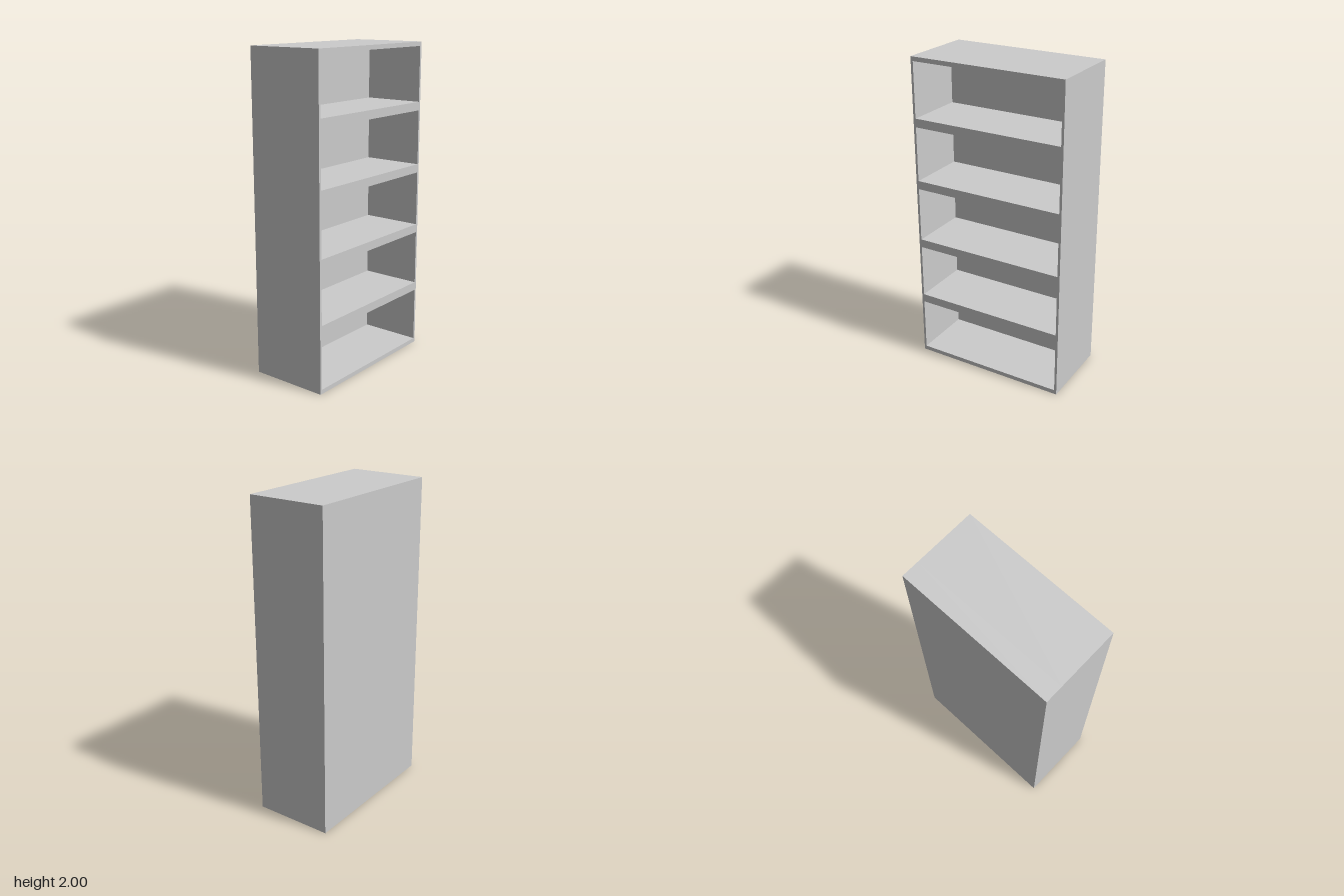
import * as THREE from 'three';

const HEIGHT = 2, WIDTH = 1, DEPTH = 0.5;
const BAYS = 5, PITCH = HEIGHT / BAYS;
const SIDE = 0.015;          // side panel thickness
const BOARD = 0.027;         // board above and below each bay
const BAY_DEPTH = 0.39;      // bays open towards +x

export function createModel() {
  const group = new THREE.Group();
  group.name = 'bookcase';
  const material = new THREE.MeshStandardMaterial({ color: 0xcccccc, flatShading: true });

  // Rectangle corners between two points
  const rect = (u0, v0, u1, v1) => [[u0, v0], [u1, v0], [u1, v1], [u0, v1]]
    .map(([u, v]) => new THREE.Vector2(u, v));

  // Sides and shelves: one frame with a row of open bays
  const outline = new THREE.Shape(rect(-WIDTH / 2, 0, WIDTH / 2, HEIGHT));
  const w = WIDTH / 2 - SIDE;
  for (let i = 0; i < BAYS; i++) {
    const y = i * PITCH;
    outline.holes.push(new THREE.Path(rect(-w, y + BOARD, w, y + PITCH - BOARD).reverse()));
  }
  const frameGeometry = new THREE.ExtrudeGeometry(outline, { depth: BAY_DEPTH, bevelEnabled: false });
  frameGeometry.rotateY(Math.PI / 2);
  const frame = new THREE.Mesh(frameGeometry, material);
  frame.name = 'shelfFrame';
  frame.position.x = DEPTH / 2 - BAY_DEPTH;
  group.add(frame);

  // Thick back closing the bays
  const backDepth = DEPTH - BAY_DEPTH;
  const back = new THREE.Mesh(new THREE.BoxGeometry(backDepth, HEIGHT, WIDTH), material);
  back.name = 'backPanel';
  back.position.set(-DEPTH / 2 + backDepth / 2, HEIGHT / 2, 0);
  group.add(back);

  return group;
}
